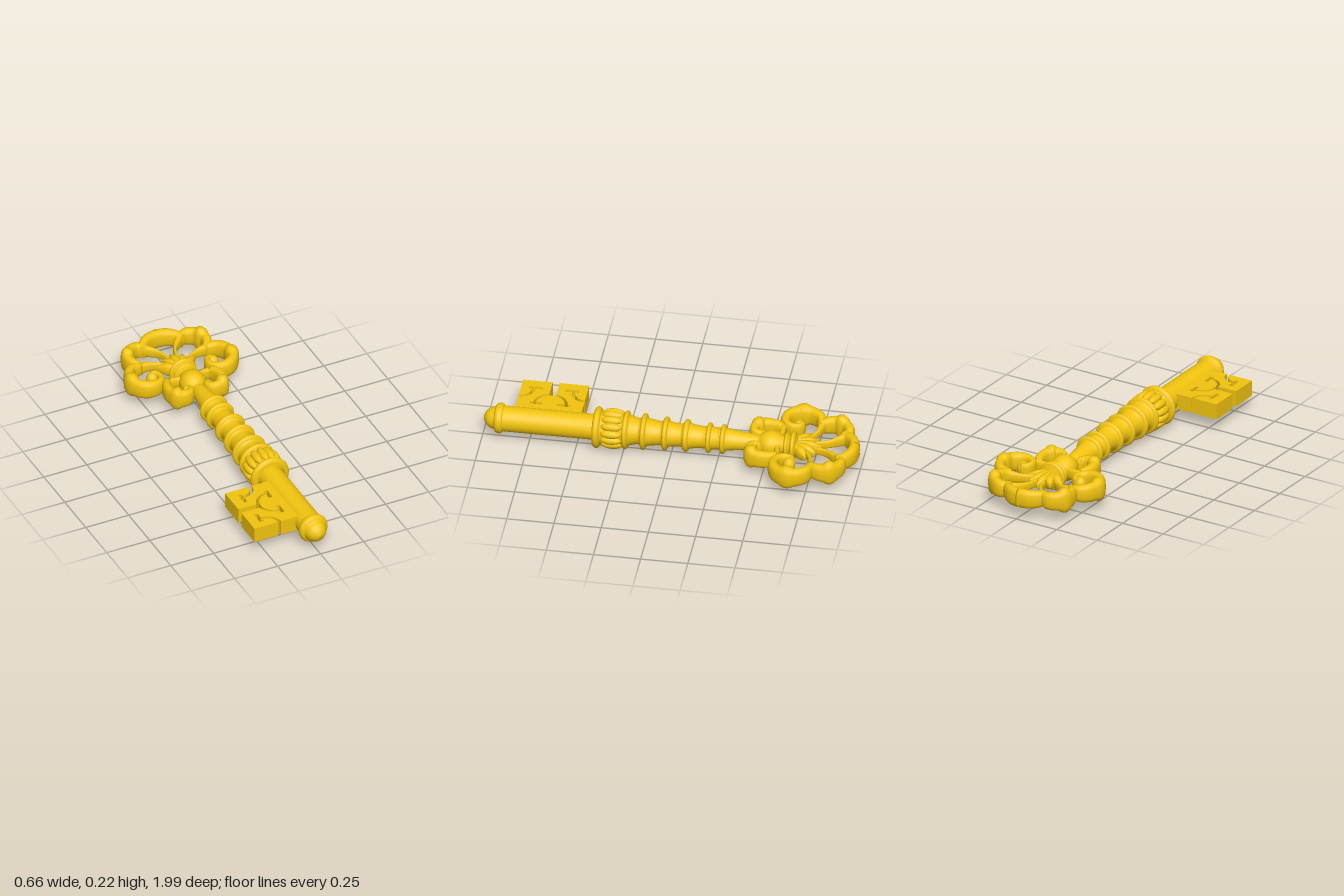
import * as THREE from 'three';

const MID = 0.113; // height of the key's axis
const gold = new THREE.MeshStandardMaterial({ color: 0xf2c40f });

function add(parent, name, geometry, x = 0, y = 0, z = 0) {
  const mesh = new THREE.Mesh(geometry, gold);
  mesh.name = name;
  mesh.position.set(x, y, z);
  parent.add(mesh);
  return mesh;
}

// Turned part along z from [z, radius] points, z rising
function turned(profile, sides = 40) {
  const pts = profile.map(([z, r]) => new THREE.Vector2(Math.max(r, 0.0001), z));
  return new THREE.LatheGeometry(pts, sides).rotateX(Math.PI / 2);
}

// Rounded ring in a profile, standing from radius r0 to r1
function ring(z, r0, r1, half) {
  const out = [];
  for (let i = 0; i <= 8; i++) {
    const a = Math.PI * (i / 8);
    out.push([z - half * Math.cos(a), r0 + (r1 - r0) * Math.sin(a)]);
  }
  return out;
}

// Flat-lying strand through [x, z, halfWidth, halfHeight] points
function strand(points, s = 1, steps = 28, sides = 16) {
  const path = new THREE.CatmullRomCurve3(points.map(p => new THREE.Vector3(p[0] * s, 0, p[1])));
  const size = new THREE.CatmullRomCurve3(points.map(p => new THREE.Vector3(p[2], p[3], 0)));
  const pos = [], idx = [];
  const soft = v => Math.sign(v) * Math.pow(Math.abs(v), 0.75);
  for (let i = -1; i <= steps + 1; i++) {
    const t = Math.min(1, Math.max(0, i / steps));
    const p = path.getPoint(t), d = path.getTangent(t), q = size.getPoint(t);
    const k = i < 0 || i > steps ? 0 : 1; // closed ends
    for (let j = 0; j < sides; j++) {
      const a = (j / sides) * Math.PI * 2;
      const w = k * q.x * soft(Math.cos(a)), h = k * q.y * soft(Math.sin(a));
      pos.push(p.x + d.z * w, h, p.z - d.x * w);
    }
  }
  for (let i = 0; i < steps + 2; i++) {
    for (let j = 0; j < sides; j++) {
      const a = i * sides + j, b = i * sides + (j + 1) % sides;
      idx.push(a, b, a + sides, b, b + sides, a + sides);
    }
  }
  const g = new THREE.BufferGeometry();
  g.setAttribute('position', new THREE.Float32BufferAttribute(pos, 3));
  g.setIndex(idx);
  g.computeVertexNormals();
  return g;
}

// One half of the bit, outlined in x and distance from its middle line
function bitHalf() {
  const s = new THREE.Shape();
  const to = (...pts) => pts.forEach(p => s.lineTo(p[0], p[1]));
  s.moveTo(-0.305, -0.175);
  to([-0.168, -0.175]);
  s.absarc(-0.227, -0.175, 0.059, 0, Math.PI / 2, false);
  to([-0.232, -0.116], [-0.232, -0.132], [-0.253, -0.132], [-0.253, -0.06], [-0.232, -0.06], [-0.232, -0.098]);
  s.absarc(-0.227, -0.175, 0.077, Math.PI / 2, 0, true);
  to([-0.04, -0.175], [-0.04, 0], [-0.185, 0]);
  s.absarc(-0.11, 0, 0.075, Math.PI, Math.PI * 1.47, false);
  to([-0.116, -0.04], [-0.095, -0.04], [-0.095, -0.105], [-0.116, -0.105]);
  s.absarc(-0.11, 0, 0.09, Math.PI * 1.48, Math.PI * 1.064, true);
  to([-0.305, -0.018]);
  const g = new THREE.ExtrudeGeometry(s, { depth: 0.086, bevelEnabled: false, curveSegments: 10 });
  return g.translate(0, 0, -0.043).rotateX(-Math.PI / 2);
}

export function createModel() {
  const key = new THREE.Group();
  key.name = 'key';
  const body = new THREE.Group();
  body.name = 'keyBody';
  body.position.y = MID;
  key.add(body);

  // Turned stem: neck, ringed grip, collar, plain shaft and rounded tip
  add(body, 'stem', turned([
    [-0.5, 0.03], [-0.44, 0.042], [-0.38, 0.048], [-0.31, 0.057],
    ...ring(-0.275, 0.06, 0.08, 0.014), [-0.24, 0.058],
    ...ring(-0.2, 0.06, 0.081, 0.014), [-0.16, 0.058], [-0.12, 0.063],
    ...ring(-0.08, 0.068, 0.086, 0.016), [-0.05, 0.06], [-0.01, 0.064],
    ...ring(0.03, 0.068, 0.09, 0.015), [0.06, 0.063], [0.1, 0.069],
    ...ring(0.145, 0.075, 0.097, 0.015), [0.175, 0.068], [0.215, 0.078],
    ...ring(0.24, 0.085, 0.102, 0.014), [0.265, 0.085], [0.355, 0.085],
    ...ring(0.392, 0.085, 0.11, 0.02), [0.414, 0.068], [0.88, 0.068],
  ]));
  add(body, 'tip', turned([
    [0.875, 0.066], ...ring(0.91, 0.066, 0.081, 0.022), [0.935, 0.06],
    [0.95, 0.057], [0.965, 0.05], [0.98, 0.037], [0.99, 0.021], [0.995, 0],
  ]));

  // Beaded band on the collar
  const beads = new THREE.Group();
  beads.name = 'beadedBand';
  body.add(beads);
  for (let i = 0; i < 14; i++) {
    const a = ((i + 0.5) / 14) * Math.PI * 2;
    const g = new THREE.SphereGeometry(0.023, 12, 10).scale(1, 1, 2.5);
    add(beads, 'bead', g, 0.085 * Math.cos(a), 0.085 * Math.sin(a), 0.31);
  }

  // Slotted bit on the right of the shaft
  const bit = new THREE.Group();
  bit.name = 'bit';
  bit.position.z = 0.662;
  body.add(bit);
  for (const turn of [0, Math.PI]) {
    add(bit, 'bitHalf', bitHalf()).rotation.x = turn;
  }

  // Ball and collar in the middle of the bow
  add(body, 'bowBall', turned([
    [-0.67, 0.03], [-0.66, 0.055], ...ring(-0.645, 0.06, 0.078, 0.013),
    [-0.627, 0.055], ...ring(-0.61, 0.055, 0.068, 0.01), [-0.595, 0.046],
    [-0.58, 0.053], [-0.56, 0.065], [-0.53, 0.072], [-0.5, 0.067],
    [-0.475, 0.052], [-0.46, 0.036], [-0.44, 0.04],
  ]));

  // Palmette of pointed leaves above the collar
  const palmette = new THREE.Group();
  palmette.name = 'palmette';
  body.add(palmette);
  [[0, -0.795], [0.062, -0.77], [-0.062, -0.77], [0.112, -0.725], [-0.112, -0.725]].forEach(([x, z]) => {
    add(palmette, 'leaf', strand([
      [x * 0.25, -0.65, 0.02, 0.035], [x * 0.55, z * 0.6 - 0.26, 0.026, 0.036], [x, z, 0.003, 0.012],
    ], 1, 12, 12));
  });

  // Mirrored scrollwork of the bow
  for (const s of [1, -1]) {
    const side = new THREE.Group();
    side.name = s > 0 ? 'bowLeft' : 'bowRight';
    body.add(side);
    add(side, 'topLobe', strand([
      [-0.01, -0.968, 0.03, 0.052], [0.05, -0.958, 0.029, 0.051],
      [0.095, -0.925, 0.027, 0.046], [0.115, -0.885, 0.022, 0.038],
    ], s, 16));
    add(side, 'upperLobe', strand([
      [0.1, -0.9, 0.022, 0.038], [0.145, -0.92, 0.027, 0.047], [0.195, -0.895, 0.029, 0.052],
      [0.222, -0.84, 0.029, 0.052], [0.21, -0.785, 0.026, 0.045], [0.18, -0.755, 0.02, 0.036],
    ], s));
    add(side, 'sideScroll', strand([
      [0.19, -0.765, 0.022, 0.038], [0.25, -0.75, 0.027, 0.048], [0.288, -0.69, 0.03, 0.052],
      [0.28, -0.62, 0.03, 0.052], [0.235, -0.577, 0.029, 0.05], [0.178, -0.575, 0.025, 0.046],
      [0.142, -0.61, 0.019, 0.042], [0.148, -0.655, 0.018, 0.04], [0.178, -0.668, 0.017, 0.038],
    ], s, 40));
    add(side, 'scrollEnd', new THREE.SphereGeometry(0.033, 16, 12).scale(1, 1.2, 1), 0.176 * s, 0, -0.65);
    add(side, 'lowerScroll', strand([
      [0.125, -0.575, 0.022, 0.038], [0.148, -0.53, 0.026, 0.046], [0.146, -0.465, 0.028, 0.05],
      [0.11, -0.427, 0.028, 0.05], [0.065, -0.43, 0.024, 0.045], [0.05, -0.462, 0.018, 0.04],
      [0.075, -0.478, 0.014, 0.032],
    ], s, 36));
    add(side, 'link', strand([
      [0.03, -0.56, 0.018, 0.03], [0.085, -0.572, 0.015, 0.03], [0.15, -0.57, 0.02, 0.035],
    ], s, 10));
    // Ribs flaring out to the notches between lobes
    add(side, 'upperRib', strand([
      [0.02, -0.75, 0.008, 0.02], [0.045, -0.83, 0.01, 0.024], [0.11, -0.91, 0.024, 0.036],
    ], s, 14));
    add(side, 'sideRib', strand([
      [0.06, -0.72, 0.008, 0.02], [0.12, -0.752, 0.011, 0.024], [0.2, -0.77, 0.024, 0.036],
    ], s, 14));
  }
  return key;
}
